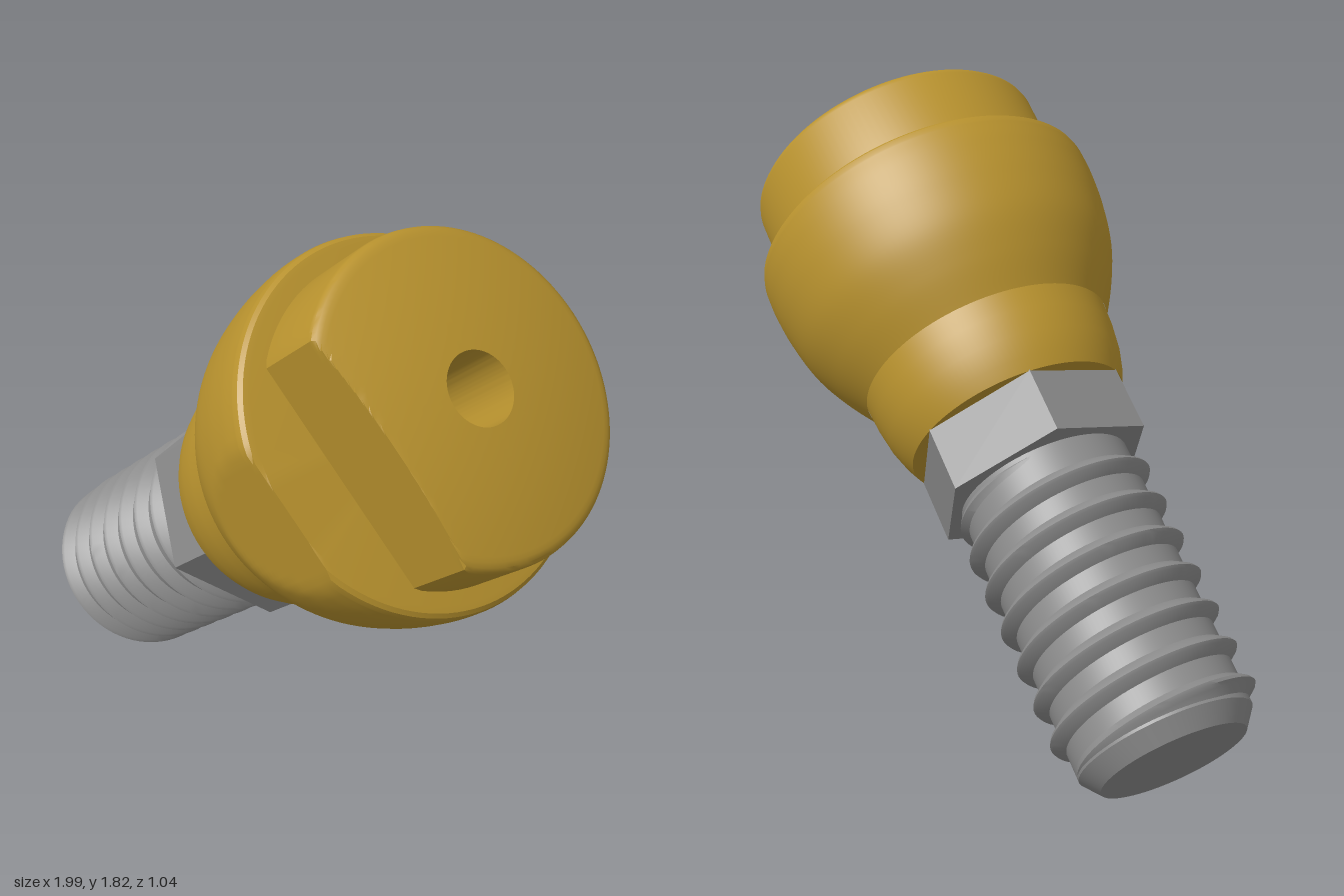
import * as THREE from 'three';
import { toCreasedNormals } from 'three/addons/utils/BufferGeometryUtils.js';

const V = (r, y) => new THREE.Vector2(r, y);
const deg = THREE.MathUtils.degToRad;
const SEGMENTS = 120;
const FLAT_ANGLE = deg(12); // direction the wrench flats face, around the axis

// Turned part; with flatDistance, one side is milled to a plane parallel to the axis
function turned(points, flatDistance = Infinity) {
  const geo = new THREE.LatheGeometry(points, SEGMENTS, FLAT_ANGLE);
  const pos = geo.attributes.position;
  const nx = Math.sin(FLAT_ANGLE), nz = Math.cos(FLAT_ANGLE);
  for (let i = 0; i < pos.count; i++) {
    const reach = pos.getX(i) * nx + pos.getZ(i) * nz;
    if (reach > flatDistance) {
      const k = flatDistance / reach;
      pos.setX(i, pos.getX(i) * k);
      pos.setZ(i, pos.getZ(i) * k);
    }
  }
  return toCreasedNormals(geo, 0.5);
}

// Helical thread: a repeated tooth profile sheared along the axis
function thread(start, end, pitch, root, crest) {
  const tooth = [[0, 0], [0.22, 0], [0.42, 0.85], [0.5, 1], [0.58, 0.85], [0.78, 0]];
  const points = [];
  const turns = Math.ceil((end - start) / pitch) + 1;
  for (let n = -1; n < turns; n++) {
    for (const [u, h] of tooth) points.push(V(root + h * (crest - root), start + (n + u) * pitch));
  }
  const geo = new THREE.LatheGeometry(points, 72);
  const pos = geo.attributes.position;
  for (let i = 0; i < pos.count; i++) {
    const column = Math.floor(i / points.length);
    const y = pos.getY(i) + (pitch * column) / 72;
    // fade the tooth into the core at both ends
    const fade = THREE.MathUtils.clamp(Math.min(y - start, end - y) / 0.04, 0, 1);
    const r = Math.hypot(pos.getX(i), pos.getZ(i));
    const k = (root + (r - root) * fade) / r;
    pos.setXYZ(i, pos.getX(i) * k, THREE.MathUtils.clamp(y, start, end), pos.getZ(i) * k);
  }
  return toCreasedNormals(geo, 0.6);
}

export function createModel() {
  const model = new THREE.Group();
  model.name = 'ballFitting';
  const fitting = new THREE.Group();
  fitting.name = 'tiltedFitting';
  fitting.rotation.z = -deg(50);
  fitting.position.set(-0.435, 0.521, 0);
  model.add(fitting);

  const steel = new THREE.MeshStandardMaterial({ color: 0xcccccc });
  steel.color.set(0x8c8c8c);
  const hexSteel = steel.clone();
  hexSteel.flatShading = true;
  const brass = new THREE.MeshStandardMaterial({ color: 0xb8922e });

  const add = (name, geometry, material) => {
    const mesh = new THREE.Mesh(geometry, material);
    mesh.name = name;
    fitting.add(mesh);
    return mesh;
  };

  // Threaded shank with chamfered tip
  add('shank', turned([V(0, -0.557), V(0.213, -0.557), V(0.254, -0.505), V(0.254, 0.33)]), steel);
  add('thread', thread(-0.5, 0.31, 0.114, 0.252, 0.288), steel);

  // Hexagonal collar
  const hex = new THREE.CylinderGeometry(0.33, 0.33, 0.195, 6, 1, false, deg(15));
  add('hexCollar', hex, hexSteel).position.y = 0.4175;

  // Neck
  add('neck', turned([
    V(0, 0.512), V(0.328, 0.512), V(0.345, 0.55), V(0.363, 0.61), V(0.374, 0.68), V(0.38, 0.76),
  ]), brass);

  // Swelling body with a milled flat on the front
  const swell = new THREE.SplineCurve([
    V(0.38, 0.745), V(0.437, 0.84), V(0.485, 0.945), V(0.512, 1.06), V(0.523, 1.16), V(0.523, 1.225),
  ]).getPoints(36);
  const body = [...swell, V(0.519, 1.242), V(0.508, 1.252), V(0.49, 1.255), V(0, 1.255)];
  add('body', turned(body, 0.483), brass);

  // Domed cap with a deep flat and a blind centre hole
  const cap = [V(0.452, 1.25), V(0.452, 1.468), V(0.449, 1.48), V(0.441, 1.489)];
  for (let i = 0; i <= 24; i++) {
    const r = THREE.MathUtils.lerp(0.428, 0.1, i / 24);
    cap.push(V(r, 1.548 - 0.052 * (r / 0.428) ** 2));
  }
  cap.push(V(0.1, 1.262), V(0, 1.262));
  add('cap', turned(cap, 0.3), brass);

  return model;
}
